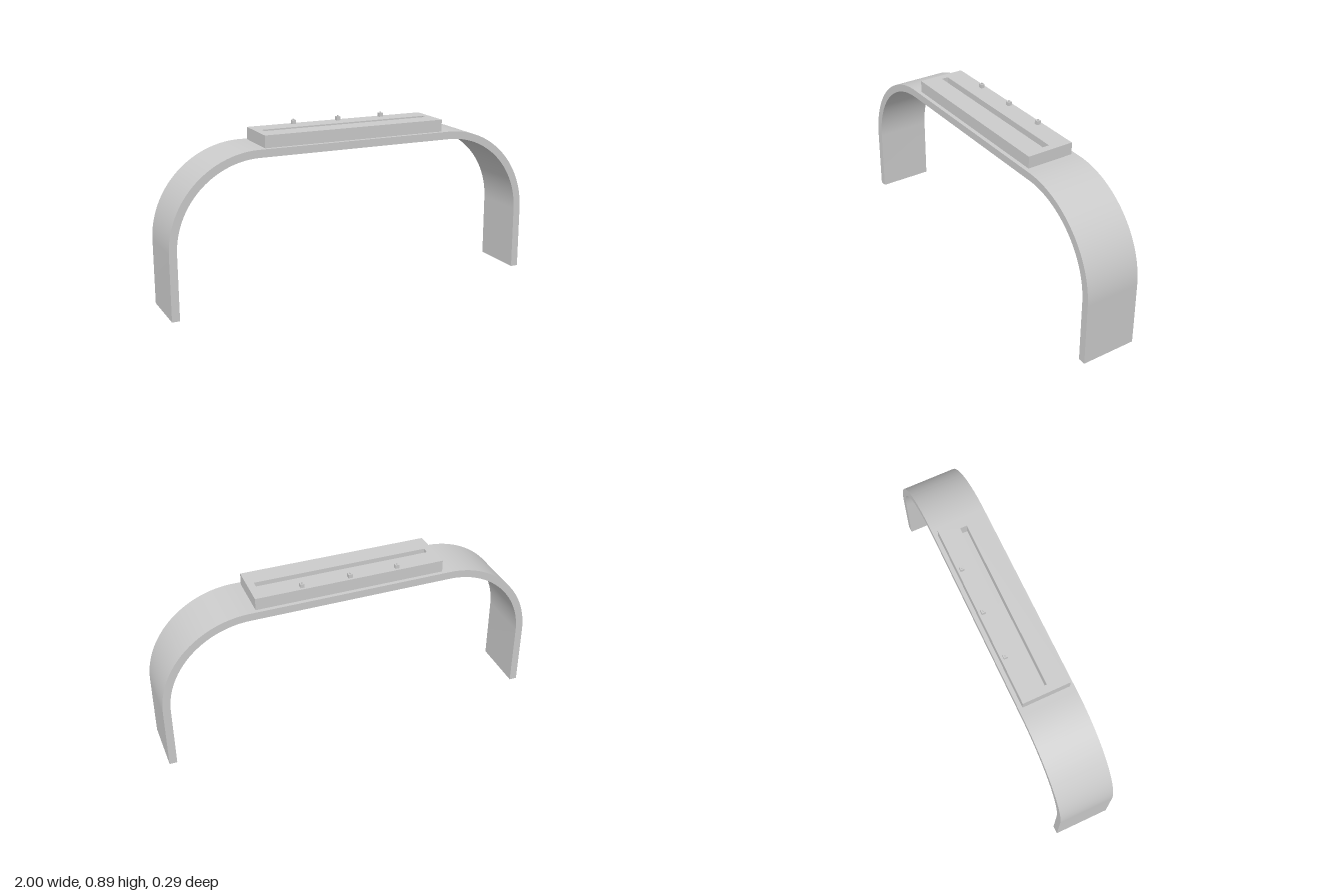
import * as THREE from 'three';
import { toCreasedNormals } from 'three/addons/utils/BufferGeometryUtils.js';

const material = new THREE.MeshStandardMaterial({ color: 0xcccccc, side: THREE.DoubleSide });

function addMesh(parent, name, geometry, x = 0, y = 0, z = 0) {
  const mesh = new THREE.Mesh(geometry, material);
  mesh.name = name;
  mesh.position.set(x, y, z);
  parent.add(mesh);
  return mesh;
}

// Remove the triangles lying on the ground, leaving the hollow feet open
function openBottom(geometry) {
  const p = geometry.attributes.position;
  const kept = [];
  for (let i = 0; i < p.count; i += 3) {
    if (Math.max(p.getY(i), p.getY(i + 1), p.getY(i + 2)) < 1e-5) continue;
    for (let k = i; k < i + 3; k++) kept.push(p.getX(k), p.getY(k), p.getZ(k));
  }
  const open = new THREE.BufferGeometry();
  open.setAttribute('position', new THREE.Float32BufferAttribute(kept, 3));
  return open;
}

// Straight legs bent through quarter circles into a flat top
function archGeometry() {
  const top = 0.805, wall = 0.04, depth = 0.292, radius = 0.47;
  const cx = 1 - radius, cy = top - radius, inner = radius - wall;
  const shape = new THREE.Shape();
  shape.moveTo(1, 0);
  shape.lineTo(1, cy);
  shape.absarc(cx, cy, radius, 0, Math.PI / 2, false);
  shape.absarc(-cx, cy, radius, Math.PI / 2, Math.PI, false);
  shape.lineTo(-1, 0);
  shape.lineTo(-1 + wall, 0);
  shape.absarc(-cx, cy, inner, Math.PI, Math.PI / 2, true);
  shape.absarc(cx, cy, inner, Math.PI / 2, 0, true);
  shape.lineTo(1 - wall, 0);
  const geometry = new THREE.ExtrudeGeometry(shape, { depth, bevelEnabled: false, curveSegments: 32 });
  geometry.translate(0, 0, -depth / 2);
  return toCreasedNormals(openBottom(geometry), 0.5);
}

function rectangle(path, w, h) {
  path.moveTo(-w / 2, -h / 2);
  path.lineTo(w / 2, -h / 2);
  path.lineTo(w / 2, h / 2);
  path.lineTo(-w / 2, h / 2);
  path.closePath();
  return path;
}

// Flat block with a long narrow slot
function slottedBlockGeometry() {
  const shape = rectangle(new THREE.Shape(), 0.99, 0.25);
  shape.holes.push(rectangle(new THREE.Path(), 0.914, 0.036));
  const geometry = new THREE.ExtrudeGeometry(shape, { depth: 0.063, bevelEnabled: false });
  return geometry.rotateX(-Math.PI / 2);
}

export function createModel() {
  const group = new THREE.Group();
  group.name = 'archStand';

  addMesh(group, 'arch', archGeometry());
  addMesh(group, 'slottedBlock', slottedBlockGeometry(), 0, 0.805, 0);

  // Three small buttons along the back edge of the block
  for (const x of [-0.25, 0, 0.25]) {
    const button = new THREE.Group();
    button.name = 'button';
    button.position.set(x, 0.868, -0.102);
    addMesh(button, 'buttonBase', new THREE.BoxGeometry(0.021, 0.02, 0.021), 0, 0.01, 0);
    addMesh(button, 'buttonTip', new THREE.BoxGeometry(0.007, 0.006, 0.007), 0, 0.023, 0);
    group.add(button);
  }
  return group;
}
